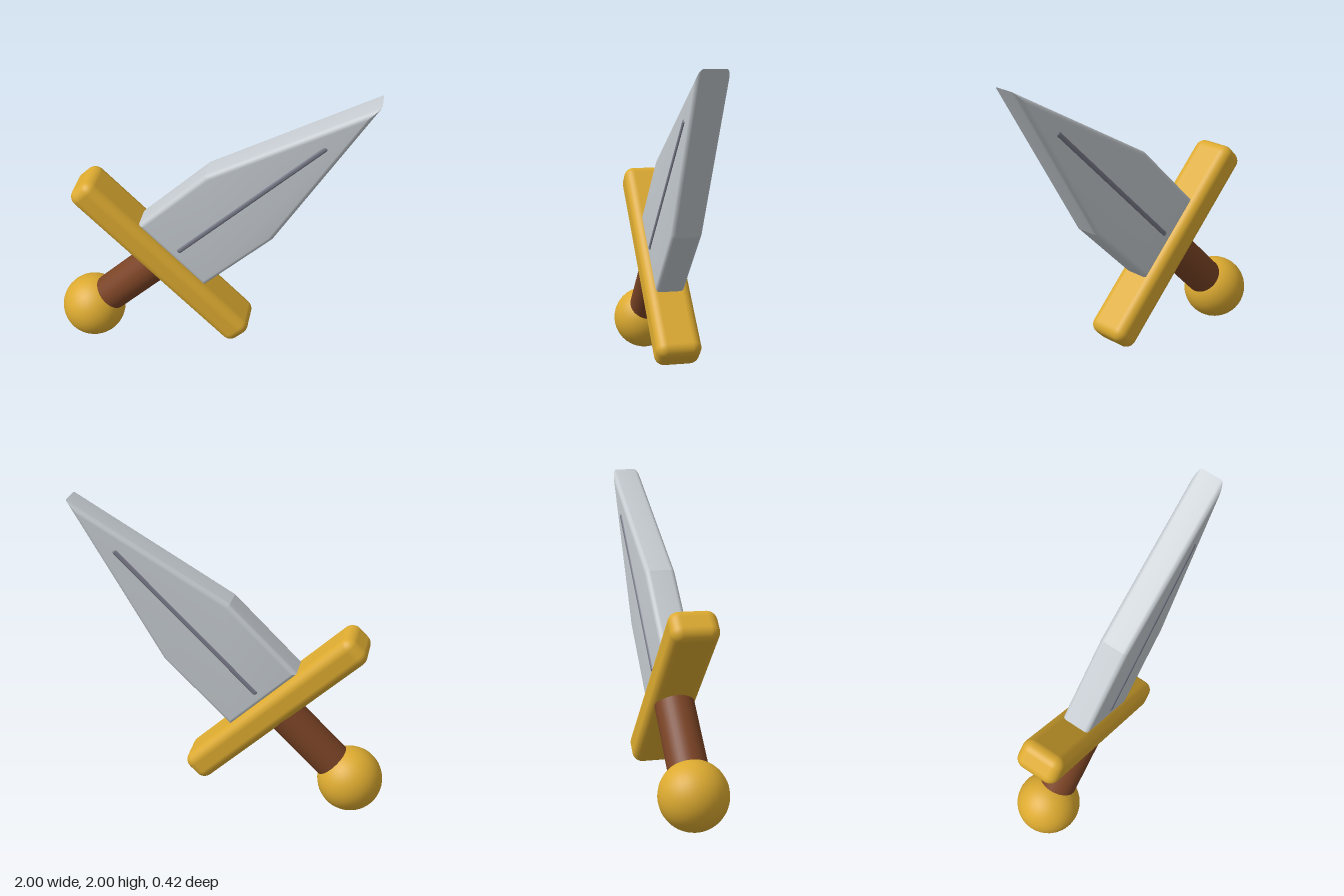
import * as THREE from 'three';
import { toCreasedNormals } from 'three/addons/utils/BufferGeometryUtils.js';
import { RoundedBoxGeometry } from 'three/addons/geometries/RoundedBoxGeometry.js';

const material = (name, color) => {
  const m = new THREE.MeshStandardMaterial({ color });
  m.name = name;
  return m;
};

// Pointed slab with rounded edges: inset copies of the outline stacked along z
function bladeGeometry({ halfWidth, base, shoulder, tip, halfDepth, radius, steps }) {
  const slope = Math.atan2(halfWidth, tip - shoulder);
  const outline = (d, z) => {
    const w = halfWidth - d;
    const s = shoulder - d * Math.tan(slope / 2);
    const t = tip - d / Math.sin(slope);
    return [[w, base + d, z], [w, s, z], [0, t, z], [-w, s, z], [-w, base + d, z]];
  };

  const rings = [];
  for (const side of [-1, 1]) {
    for (let i = 0; i <= steps; i++) {
      const a = (side < 0 ? 1 - i / steps : i / steps) * Math.PI / 2;
      const inset = radius * (1 - Math.cos(a));
      rings.push(outline(inset, side * (halfDepth - radius + radius * Math.sin(a))));
    }
  }

  const n = 5;
  const index = [];
  for (let r = 0; r < rings.length - 1; r++) {
    for (let j = 0; j < n; j++) {
      const a = r * n + j, b = r * n + (j + 1) % n;
      index.push(a, b, b + n, a, b + n, a + n);
    }
  }
  const last = (rings.length - 1) * n;
  for (let j = 1; j < n - 1; j++) {
    index.push(0, j + 1, j, last, last + j, last + j + 1);
  }

  const geometry = new THREE.BufferGeometry();
  geometry.setAttribute('position', new THREE.Float32BufferAttribute(rings.flat(2), 3));
  geometry.setIndex(index);
  return toCreasedNormals(geometry, 0.22);
}

export function createModel() {
  const gold = material('gold', 0xdcaa30);
  const leather = material('brown leather', 0x7a4325);
  const steel = material('steel', 0xc4cacf);
  const darkSteel = material('dark steel', 0x787a88);

  // The dagger is built upright along y, then tilted as a whole
  const dagger = new THREE.Group();
  dagger.name = 'dagger';
  const add = (name, geometry, mat, y) => {
    const mesh = new THREE.Mesh(geometry, mat);
    mesh.name = name;
    mesh.position.y = y;
    dagger.add(mesh);
  };

  add('pommel', new THREE.SphereGeometry(0.21, 32, 24), gold, -1.115);
  add('grip', new THREE.CylinderGeometry(0.122, 0.122, 0.66, 32), leather, -0.75);
  add('guard', new RoundedBoxGeometry(1.48, 0.2, 0.29, 5, 0.065), gold, -0.41);
  add('blade', bladeGeometry({
    halfWidth: 0.3, base: -0.32, shoulder: 0.29, tip: 1.414,
    halfDepth: 0.095, radius: 0.032, steps: 8,
  }), steel, 0);
  // Central ridge passes through the blade and shows on both faces
  add('ridge', new RoundedBoxGeometry(0.034, 1.26, 0.205, 3, 0.014), darkSteel, 0.373);

  dagger.rotation.z = -Math.PI / 4;
  dagger.position.y = 1;

  const model = new THREE.Group();
  model.name = 'model';
  model.add(dagger);
  return model;
}
